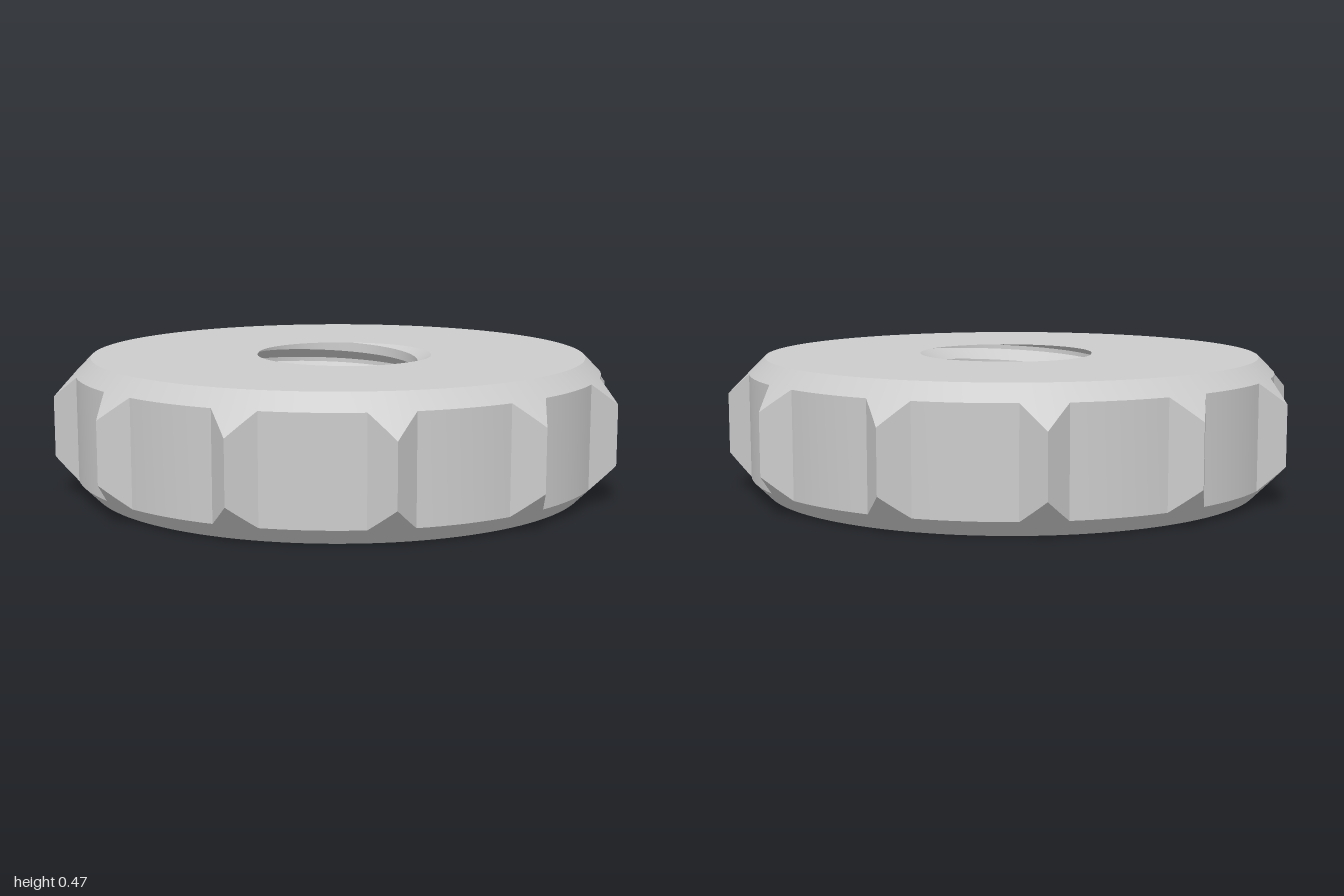
import * as THREE from 'three';
import { toCreasedNormals } from 'three/addons/utils/BufferGeometryUtils.js';

const H = 0.47, FLAT_R = 0.87, BODY_R = 0.925, TIP_R = 1, TEETH = 12;
const MINOR_R = 0.283, MAJOR_R = 0.343, PITCH = 0.1213;
const ROOT = 0.0625 * PITCH, GROOVE = 0.36 * PITCH; // half widths of the thread groove
const HALF = 0.0825; // half angle of a tooth base
const STEP = Math.PI * 2 / TEETH;

// Angles around the wheel, with the tooth bases and tips hit exactly
function columnAngles() {
  const out = [];
  for (let t = 0; t < TEETH; t++) {
    for (let i = 0; i < 8; i++) out.push(t * STEP + HALF * i / 4);
    for (let i = 0; i < 8; i++) out.push(t * STEP + 2 * HALF + (STEP - 2 * HALF) * i / 8);
  }
  out.push(Math.PI * 2);
  return out.map(a => a - HALF); // start at a tooth base
}

// Outline radius: a round body with straight-sided pointed teeth
function outlineRadius(a) {
  const d = Math.abs(a - Math.round(a / STEP) * STEP);
  if (d >= HALF - 1e-6) return BODY_R;
  const bx = BODY_R * Math.cos(HALF), by = BODY_R * Math.sin(HALF);
  return TIP_R * by / (Math.cos(d) * by + Math.sin(d) * (TIP_R - bx));
}

// Right-handed helical groove
const grooveCentre = a => H + PITCH * (a / (2 * Math.PI) + 0.25);
function boreRadius(a, y) {
  const turns = (y - grooveCentre(a)) / PITCH;
  const d = Math.abs(turns - Math.round(turns)) * PITCH;
  const t = THREE.MathUtils.clamp((GROOVE - d) / (GROOVE - ROOT), 0, 1);
  return MINOR_R + (MAJOR_R - MINOR_R) * t;
}

// Skin a cross-section [radius, height] that varies with the angle
function sweep(section) {
  const columns = columnAngles().map(a =>
    section(a).map(([r, y]) => new THREE.Vector3(r * Math.cos(a), y, -r * Math.sin(a))));
  const pos = [], n = new THREE.Vector3(), e = new THREE.Vector3();
  const tri = (a, b, c) => {
    n.subVectors(b, a).cross(e.subVectors(c, a));
    if (n.length() > 1e-9) pos.push(...a, ...b, ...c);
  };
  for (let i = 0; i + 1 < columns.length; i++) {
    const A = columns[i], B = columns[i + 1];
    for (let j = 0; j + 1 < A.length; j++) {
      tri(A[j], A[j + 1], B[j + 1]);
      tri(A[j], B[j + 1], B[j]);
    }
  }
  const g = new THREE.BufferGeometry();
  g.setAttribute('position', new THREE.Float32BufferAttribute(pos, 3));
  return toCreasedNormals(g, 0.4);
}

export function createModel() {
  const group = new THREE.Group();
  group.name = 'knurledNut';
  const material = new THREE.MeshStandardMaterial({ color: 0xcccccc });
  const add = (name, geometry) => {
    const mesh = new THREE.Mesh(geometry, material);
    mesh.name = name;
    group.add(mesh);
  };

  // Top face, 45 degree chamfer, toothed rim, lower chamfer, bottom face
  add('toothedBody', sweep(a => {
    const r = outlineRadius(a), c = r - FLAT_R;
    return [[boreRadius(a, H), H], [FLAT_R, H], [r, H - c], [r, c], [FLAT_R, 0], [boreRadius(a, 0), 0]];
  }));

  // Threaded bore, trimmed at both faces
  add('threadedBore', sweep(a => {
    const points = [];
    for (let k = 6; k >= -1; k--) {
      for (const off of [-GROOVE, -ROOT, ROOT, GROOVE]) {
        const y = THREE.MathUtils.clamp(grooveCentre(a) - k * PITCH + off, 0, H);
        points.push([boreRadius(a, y), y]);
      }
    }
    return points;
  }));
  return group;
}
